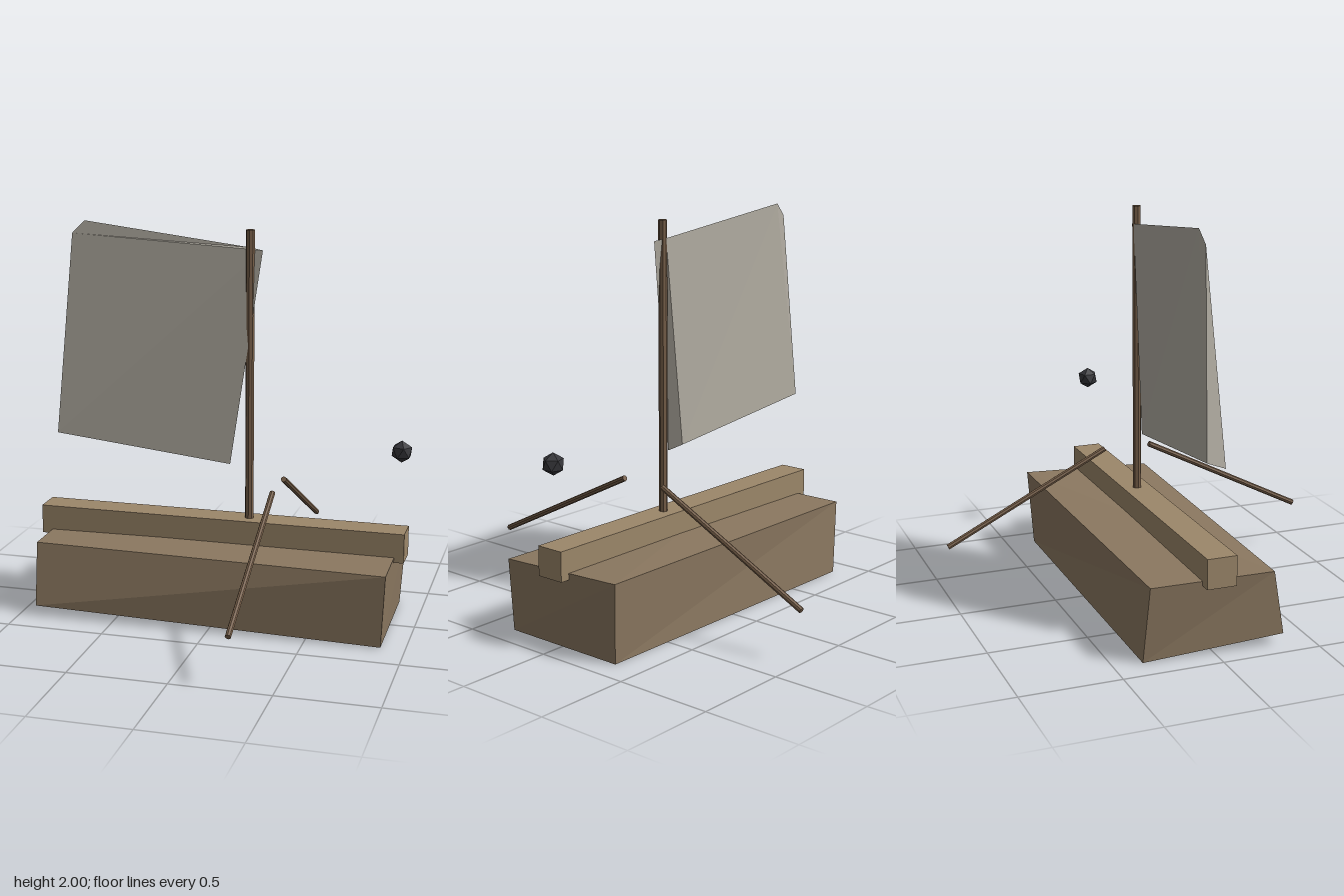
import * as THREE from 'three';

const paint = (color) => new THREE.MeshStandardMaterial({ color, flatShading: true });
const hullWood = paint(0x8b7860);
const beamWood = paint(0x9c876a);
const poleWood = paint(0x775f49);
const cloth = paint(0xb2ada2);
const iron = paint(0x36363a);

function add(group, name, geometry, material) {
  const mesh = new THREE.Mesh(geometry, material);
  mesh.name = name;
  group.add(mesh);
  return mesh;
}

// Box whose eight corners are moved; corner index = (x>0) + 2*(y>0) + 4*(z>0)
function warpedBox(corners) {
  const geometry = new THREE.BoxGeometry(1, 1, 1);
  const p = geometry.attributes.position;
  for (let i = 0; i < p.count; i++) {
    const k = (p.getX(i) > 0 ? 1 : 0) + (p.getY(i) > 0 ? 2 : 0) + (p.getZ(i) > 0 ? 4 : 0);
    p.setXYZ(i, ...corners[k]);
  }
  const flat = geometry.toNonIndexed();
  flat.computeVertexNormals();
  return flat;
}

// Straight pole between two points
function pole(group, name, from, to, radius, sides) {
  const a = new THREE.Vector3(...from);
  const b = new THREE.Vector3(...to);
  const dir = b.clone().sub(a);
  const mesh = add(group, name, new THREE.CylinderGeometry(radius, radius, dir.length(), sides), poleWood);
  mesh.position.copy(a).add(b).multiplyScalar(0.5);
  mesh.quaternion.setFromUnitVectors(new THREE.Vector3(0, 1, 0), dir.normalize());
  return mesh;
}

export function createModel() {
  const model = new THREE.Group();
  model.name = 'sailingBoat';

  // Rough-hewn hull
  add(model, 'hull', warpedBox([
    [-0.87, 0, -0.355], [0.87, 0, -0.345],
    [-0.915, 0.385, -0.335], [0.895, 0.405, -0.37],
    [-0.91, 0.055, 0.35], [0.88, 0.005, 0.325],
    [-0.915, 0.38, 0.295], [0.898, 0.375, 0.335],
  ]), hullWood);

  // Long beam lying along the deck
  add(model, 'deckBeam', new THREE.BoxGeometry(1.915, 0.15, 0.15), beamWood)
    .position.set(-0.012, 0.435, 0);

  pole(model, 'mast', [0.135, 0.5, 0], [0.135, 1.985, 0], 0.022, 8);

  // Uneven, tilted sail
  add(model, 'sail', warpedBox([
    [-0.905, 0.95, -0.055], [0.01, 0.835, -0.02],
    [-0.74, 2.0, -0.035], [0.13, 1.895, -0.018],
    [-0.88, 0.905, 0.05], [0.045, 0.8, 0.045],
    [-0.805, 1.935, -0.028], [0.198, 1.885, 0],
  ]), cloth);

  // Pair of oars
  for (const s of [1, -1]) {
    pole(model, s > 0 ? 'frontOar' : 'backOar', [0.285, 0.69, s * 0.125], [0.285, 0.255, s * 0.983], 0.015, 8);
  }

  // Faceted ball ahead of the bow, one vertex pointing up
  const ball = add(model, 'bowBall', new THREE.IcosahedronGeometry(0.056, 0), iron);
  ball.position.set(0.91, 0.915, 0);
  ball.rotation.z = -Math.atan2(2, 1 + Math.sqrt(5));

  return model;
}
